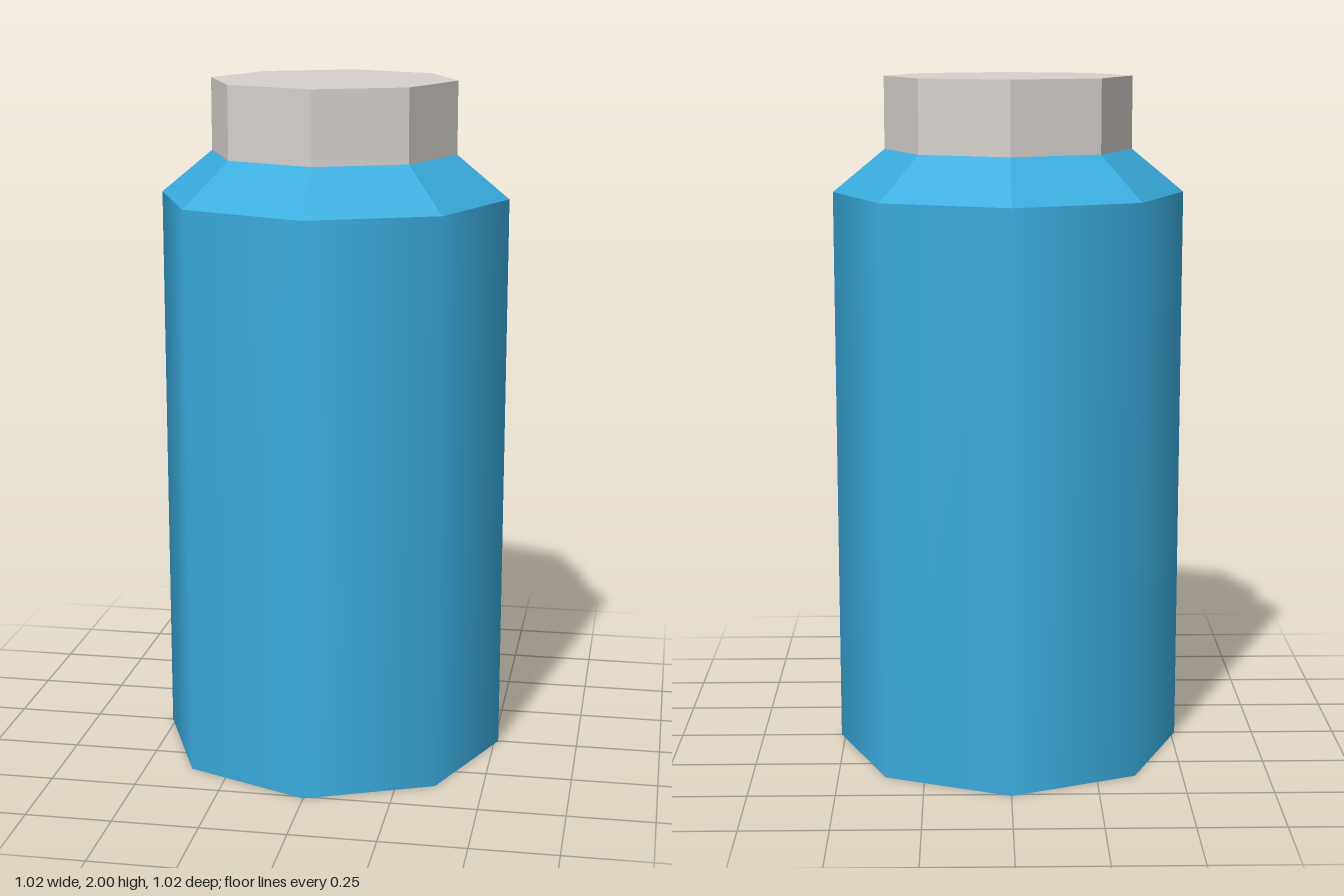
import * as THREE from 'three';

const SIDES = 8;

// Faceted copy of a geometry: every face gets its own normal
function faceted(geometry) {
  const flat = geometry.toNonIndexed();
  flat.computeVertexNormals();
  return flat;
}

export function createModel() {
  const bottle = new THREE.Group();
  bottle.name = 'bottle';

  const blue = new THREE.MeshStandardMaterial({ color: 0x3aacdf });
  blue.name = 'blue';
  const lightGrey = new THREE.MeshStandardMaterial({ color: 0xd6d1cd });
  lightGrey.name = 'light grey';

  const bodyRadius = 0.512, capRadius = 0.36;
  const bodyTop = 1.665, shoulderTop = 1.79, capTop = 2;

  function add(name, geometry, material, y) {
    const mesh = new THREE.Mesh(geometry, material);
    mesh.name = name;
    mesh.position.y = y;
    bottle.add(mesh);
  }

  // Smooth-shaded side wall
  add('body', new THREE.CylinderGeometry(bodyRadius, bodyRadius, bodyTop, SIDES, 1, true),
    blue, bodyTop / 2);

  // Flat base facing down
  const base = new THREE.CircleGeometry(bodyRadius, SIDES);
  base.rotateX(Math.PI / 2);
  add('base', base, blue, 0);

  // Faceted taper between body and cap
  const shoulder = new THREE.CylinderGeometry(
    capRadius, bodyRadius, shoulderTop - bodyTop, SIDES, 1, true);
  add('shoulder', faceted(shoulder), blue, (bodyTop + shoulderTop) / 2);

  // Faceted cap
  const cap = new THREE.CylinderGeometry(capRadius, capRadius, capTop - shoulderTop, SIDES);
  add('cap', faceted(cap), lightGrey, (shoulderTop + capTop) / 2);

  return bottle;
}
